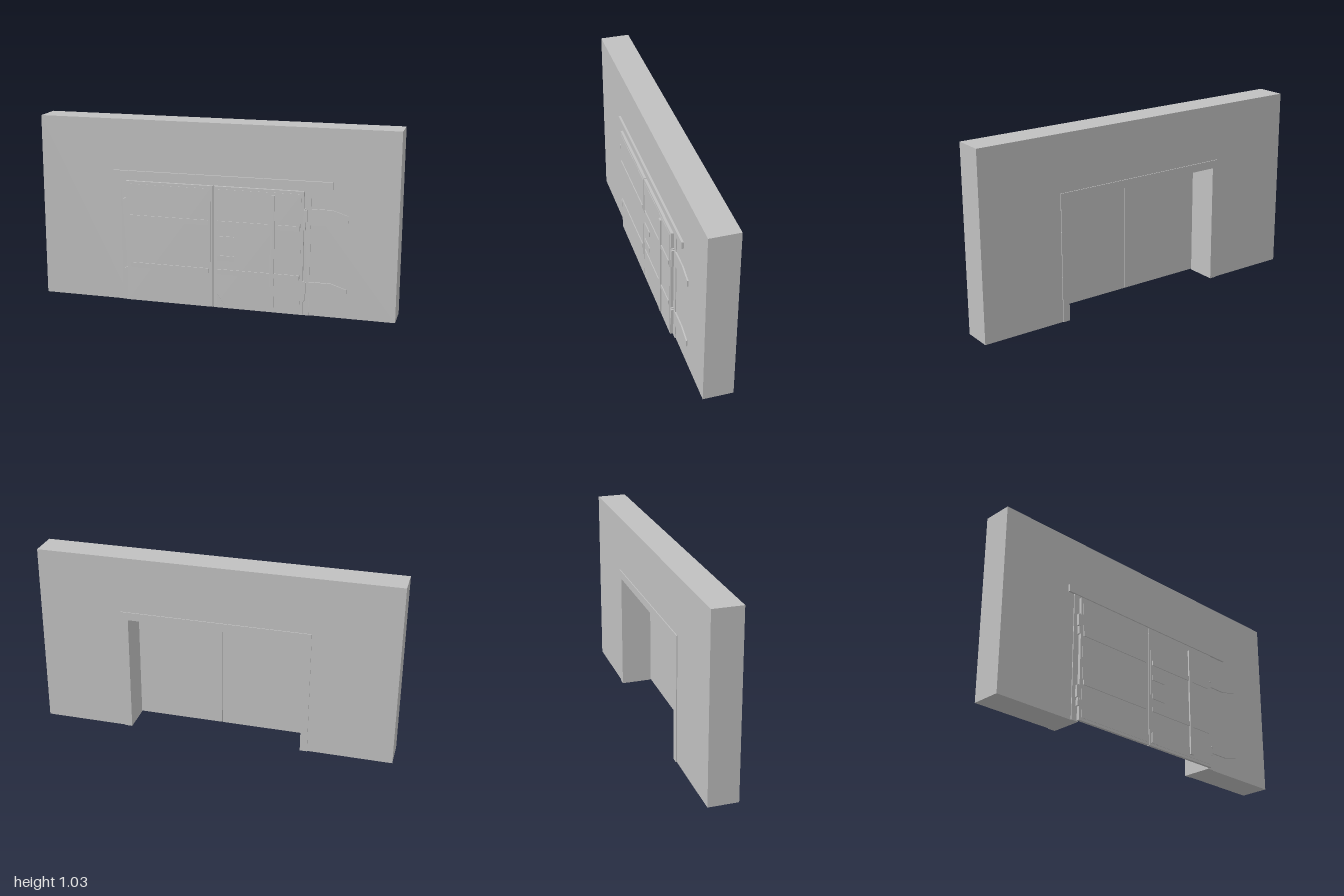
import * as THREE from 'three';

export function createModel() {
  const model = new THREE.Group();
  const grey = new THREE.MeshStandardMaterial({ color: 0xc0c0c0 });
  grey.name = 'plain grey';

  const add = (name, geometry) => {
    const mesh = new THREE.Mesh(geometry, grey);
    mesh.name = name;
    model.add(mesh);
    return mesh;
  };
  // Box given by its limits on each axis
  const box = (name, x0, x1, y0, y1, z0, z1) =>
    add(name, new THREE.BoxGeometry(x1 - x0, y1 - y0, z1 - z0)
      .translate((x0 + x1) / 2, (y0 + y1) / 2, (z0 + z1) / 2));
  // Flat outline extruded from z0 to z1
  const plate = (name, points, z0, z1) => {
    const shape = new THREE.Shape(points.map(([x, y]) => new THREE.Vector2(x, y)));
    return add(name, new THREE.ExtrudeGeometry(shape, { depth: z1 - z0, bevelEnabled: false })
      .translate(0, 0, z0));
  };
  // Upside-down U around the doorway
  const arch = (name, w, h, z0, z1) => plate(name, [
    [-w, 0], [-0.49, 0], [-0.49, 0.67], [0.49, 0.67], [0.49, 0], [w, 0], [w, h], [-w, h],
  ], z0, z1);

  // Wall and casings
  arch('wall', 1, 1.03, -0.095, 0.07);
  arch('backCasing', 0.53, 0.715, -0.1, -0.095);
  arch('frontCasing', 0.535, 0.715, 0.07, 0.075);
  box('topRail', -0.575, 0.65, 0.705, 0.745, 0.07, 0.082);

  // Double doors with raised panels, battens and hinge knuckles
  for (const s of [-1, 1]) {
    const side = s > 0 ? 'left' : 'right';
    const mirrored = (name, a, b, ...rest) =>
      box(side + name, Math.min(s * a, s * b), Math.max(s * a, s * b), ...rest);
    mirrored('Door', 0.002, 0.5, 0.005, 0.69, 0.075, 0.091);
    mirrored('DoorPanel', 0.015, 0.485, 0.02, 0.675, 0.091, 0.093);
    for (const y of [0.2, 0.473]) mirrored('Batten', 0.026, 0.478, y, y + 0.027, 0.093, 0.098);
    for (const y of [0.08, 0.48]) {
      mirrored('HingeLeaf', 0.5, 0.509, y, y + 0.115, 0.075, 0.09);
      mirrored('HingeKnuckle', 0.5, 0.517, y + 0.045, y + 0.11, 0.078, 0.092);
    }
  }

  // Fittings on the left door
  box('verticalPost', 0.318, 0.343, 0.035, 0.66, 0.093, 0.102);
  for (const y of [0.275, 0.385]) box('handle', 0.026, 0.12, y, y + 0.03, 0.093, 0.098);
  plate('cornerGusset', [[0.026, 0.022], [0.07, 0.022], [0.026, 0.085]], 0.093, 0.0945);

  // Tapered hinge straps on the wall
  for (const y of [0.1, 0.505]) {
    plate('hingeStrap', [
      [0.517, y], [0.64, y], [0.735, y + 0.025], [0.735, y + 0.063], [0.65, y + 0.09], [0.517, y + 0.09],
    ], 0.07, 0.078);
  }
  return model;
}
